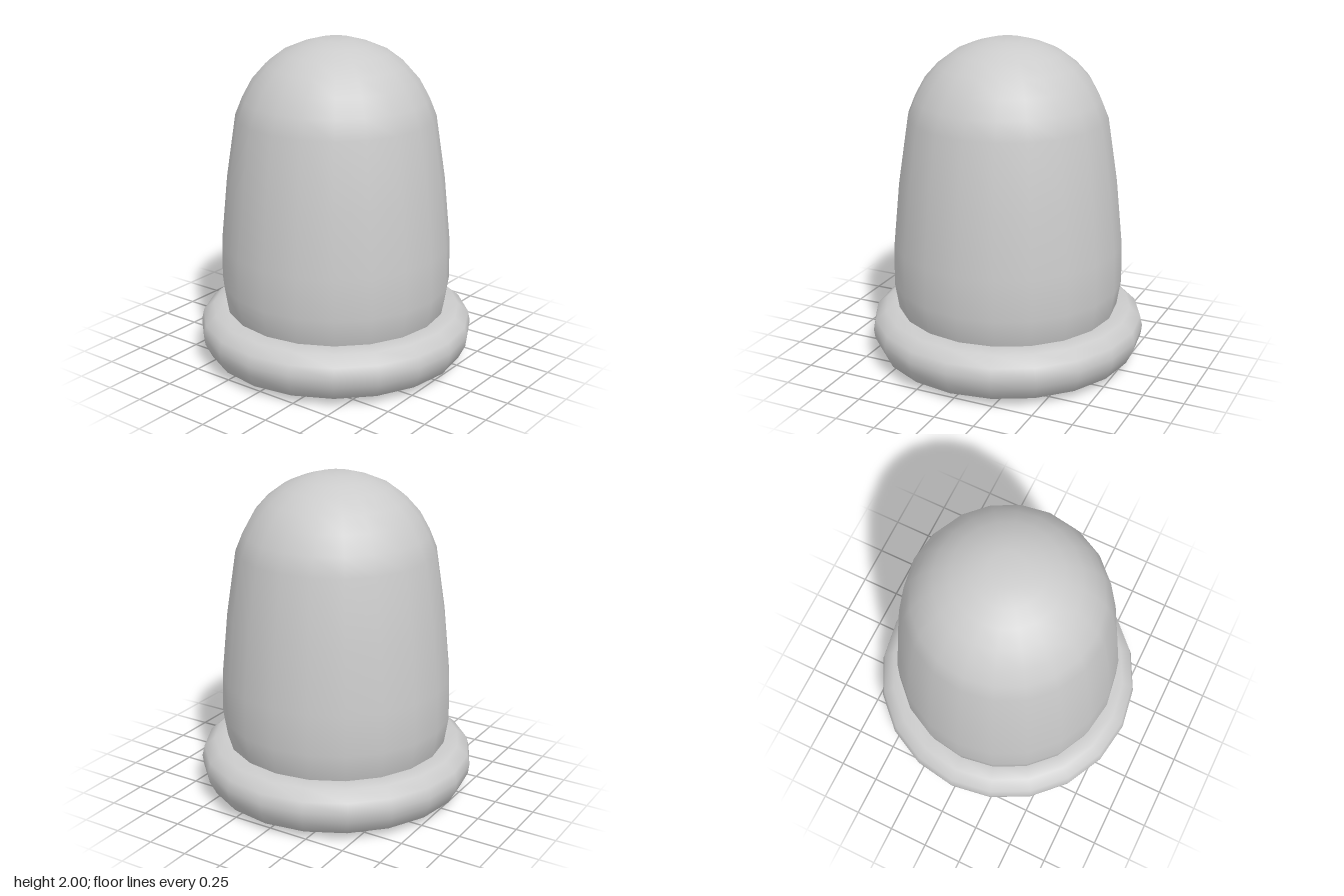
import * as THREE from 'three';

const SIDES = 20;

// Turns a closed or open (radius, height) profile, listed counter-clockwise
function turned(name, profile, material) {
  const points = profile.map(([r, y]) => new THREE.Vector2(r, y));
  const mesh = new THREE.Mesh(new THREE.LatheGeometry(points, SIDES), material);
  mesh.name = name;
  return mesh;
}

export function createModel() {
  const group = new THREE.Group();
  group.name = 'domedCap';
  const material = new THREE.MeshStandardMaterial({ color: 0xcccccc });

  // Tall dome with a softly rounded underside recessed in the ring
  group.add(turned('dome', [
    [0, 0.08], [0.3, 0.085], [0.5, 0.11], [0.62, 0.19], [0.685, 0.34],
    [0.71, 0.5], [0.705, 0.75], [0.665, 1.15], [0.605, 1.54], [0.56, 1.65],
    [0.5, 1.76], [0.42, 1.85], [0.32, 1.925], [0.215, 1.97], [0.11, 2], [0, 2],
  ], material));

  // Fat rolled ring around the foot
  group.add(turned('baseRing', [
    [0.55, 0.27], [0.515, 0.2], [0.515, 0.14], [0.55, 0.05], [0.6, 0.01],
    [0.68, 0], [0.8, 0.055], [0.842, 0.14], [0.85, 0.2], [0.835, 0.265],
    [0.77, 0.32], [0.69, 0.333], [0.61, 0.315], [0.55, 0.27],
  ], material));

  return group;
}
